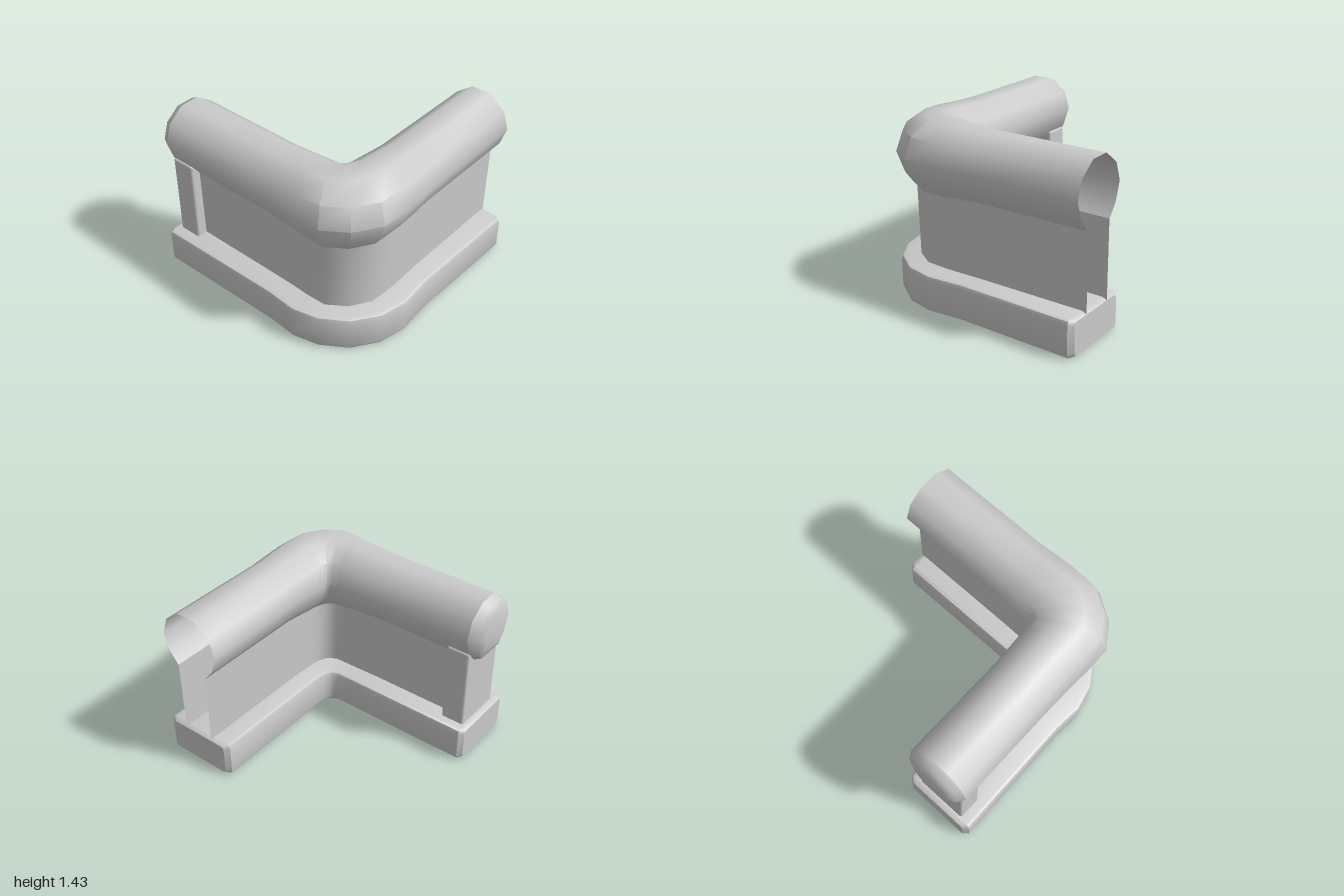
import * as THREE from 'three';
import { toCreasedNormals } from 'three/addons/utils/BufferGeometryUtils.js';
import { RoundedBoxGeometry } from 'three/addons/geometries/RoundedBoxGeometry.js';

const material = new THREE.MeshStandardMaterial({ color: 0xcccccc, side: THREE.DoubleSide });

// Sweeps a profile [u, v] along stations [innerX, innerZ, outerX, outerZ, heightScale, overallScale].
// u runs from -1 (inner edge of the bend) to 1 (outer edge); v is relative to cy in units of ry.
function loft(name, stations, profile, { cy, ry, closed = false, capStart = false, capEnd = false, crease = 0.7 }) {
  const n = profile.length, pos = [], index = [];
  for (const [ix, iz, ox, oz, k = 1, s = 1] of stations) {
    for (const [u, v] of profile) {
      const f = 0.5 + 0.5 * u * s;
      pos.push(ix + (ox - ix) * f, cy + ry * v * k * s, iz + (oz - iz) * f);
    }
  }
  const spans = closed ? n : n - 1;
  for (let i = 0; i < stations.length - 1; i++) {
    for (let j = 0; j < spans; j++) {
      const a = i * n + j, d = i * n + (j + 1) % n, b = a + n, c = d + n;
      index.push(a, b, c, a, c, d);
    }
  }
  const last = (stations.length - 1) * n;
  for (let j = 1; j < n - 1; j++) {
    if (capStart) index.push(0, j, j + 1);
    if (capEnd) index.push(last, last + j + 1, last + j);
  }
  const geo = new THREE.BufferGeometry();
  geo.setAttribute('position', new THREE.Float32BufferAttribute(pos, 3));
  geo.setIndex(index);
  const mesh = new THREE.Mesh(toCreasedNormals(geo, crease), material);
  mesh.name = name;
  return mesh;
}

export function createModel() {
  const group = new THREE.Group();

  // Rail path: straight arm, swollen bend, straight arm
  const bend = [
    [0, 0.36, 0, 0.89, 1],
    [0.2, 0.35, 0.25, 0.895, 1.06],
    [0.29, 0.345, 0.42, 0.905, 1.1],
    [0.36, 0.34, 0.62, 0.9, 1.12],
    [0.385, 0.32, 0.81, 0.77, 1.12],
    [0.39, 0.28, 0.94, 0.57, 1.12],
    [0.395, 0.2, 0.955, 0.35, 1.09],
    [0.405, 0.1, 0.95, 0.18, 1.05],
    [0.41, 0, 0.94, 0, 1],
    [0.41, -0.95, 0.94, -0.95, 1],
  ];

  // Tubular top rail, open underneath and at its far end
  const half = [[0.81, -0.6], [1, 0], [0.81, 0.6], [0.31, 1]];
  const mirrored = half.map(([u, v]) => [-u, v]).reverse();
  const tube = [[0.53, -0.98], ...half, ...mirrored, [-0.53, -0.98]];
  group.add(loft('topRail', [[-0.91, 0.36, -0.91, 0.89], ...bend], tube, { cy: 1.15, ry: 0.25 }));

  // Rounded closed end of the rail
  const cap = [[-1, 0.6], [-0.97, 0.88], [-0.91, 1]].map(([x, s]) => [x, 0.36, x, 0.89, 1, s]);
  group.add(loft('railEndCap', cap, tube, { cy: 1.15, ry: 0.25, closed: true, capStart: true, crease: 0.85 }));

  // Two thin wall sheets between base and rail
  const wallPath = [[-0.8, 0.36, -0.8, 0.89], ...bend].map((p) => p.slice(0, 4));
  group.add(loft('outerWall', wallPath, [[0.5, 0.27], [0.53, 0.907]], { cy: 0, ry: 1 }));
  group.add(loft('innerWall', wallPath, [[-0.53, 0.907], [-0.5, 0.27]], { cy: 0, ry: 1 }));

  // Chamfered base plinth following the same bend
  const basePath = [
    [-0.965, 0.325, -0.965, 0.945, 1, 0.88],
    [-0.93, 0.325, -0.93, 0.945],
    [0.15, 0.325, 0.15, 0.932],
    [0.28, 0.325, 0.4, 0.95],
    [0.32, 0.31, 0.61, 0.9],
    [0.345, 0.29, 0.81, 0.77],
    [0.365, 0.25, 0.95, 0.57],
    [0.375, 0.2, 1, 0.34],
    [0.375, 0.05, 0.975, 0.05],
    [0.375, -0.915, 0.995, -0.915],
    [0.375, -0.95, 0.995, -0.95, 1, 0.88],
  ];
  const plinth = [
    [0.89, -1], [0.97, -0.93], [1, -0.76], [1, 0.76], [0.97, 0.93], [0.89, 1],
    [-0.89, 1], [-0.97, 0.93], [-1, 0.76], [-1, -0.76], [-0.97, -0.93], [-0.89, -1],
  ];
  group.add(loft('base', basePath, plinth, { cy: 0.15, ry: 0.15, closed: true, capStart: true, capEnd: true }));

  // End post carrying the closed end of the rail
  const post = new THREE.Mesh(new RoundedBoxGeometry(0.2, 0.73, 0.435, 2, 0.02), material);
  post.name = 'endPost';
  post.position.set(-0.812, 0.625, 0.627);
  group.add(post);

  return group;
}
